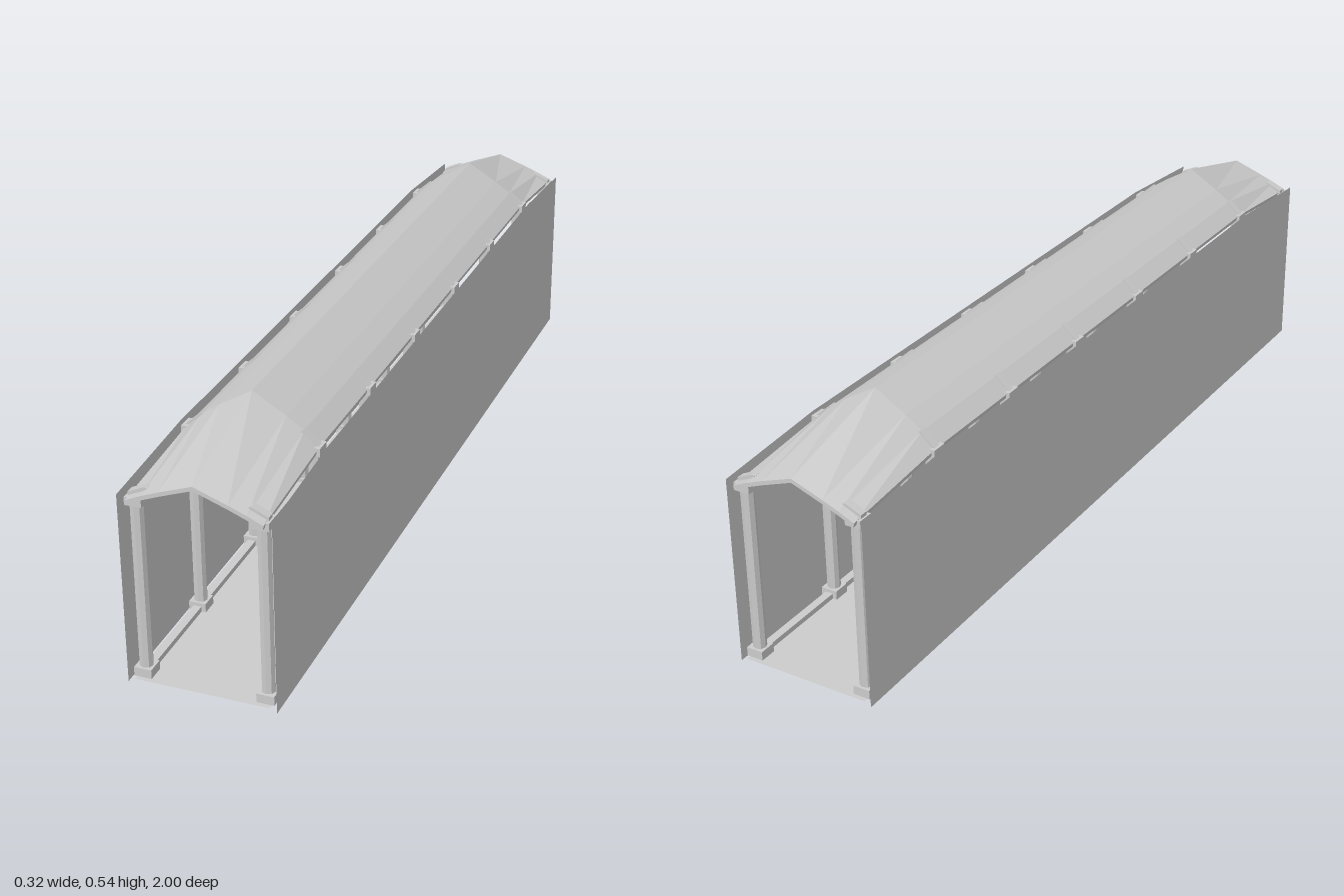
import * as THREE from 'three';

export function createModel() {
  const group = new THREE.Group();
  const stone = new THREE.MeshStandardMaterial({ color: 0xcccccc, flatShading: true, side: THREE.DoubleSide });
  stone.name = 'pale grey';

  const add = (name, geometry, x = 0, y = 0, z = 0, parent = group) => {
    const mesh = new THREE.Mesh(geometry, stone);
    mesh.name = name;
    mesh.position.set(x, y, z);
    parent.add(mesh);
    return mesh;
  };

  // Roof shell: closed cross-sections lofted along z, lowered at both ends
  const xs = [-0.143, -0.11, -0.072, 0, 0.072, 0.11, 0.143];
  const midY = [0.441, 0.471, 0.497, 0.54];
  const endY = [0.416, 0.431, 0.446, 0.472];
  const section = (heights, z) => {
    const top = xs.map((x, i) => [x, heights[3 - Math.abs(i - 3)], z]);
    const under = top.map(([x, y]) => [x * 0.99, y - 0.009, z]).reverse();
    return [...top, ...under];
  };
  const rings = [section(endY, -1), section(midY, -0.715), section(midY, 0.715), section(endY, 1)];
  const n = rings[0].length;
  const positions = [];
  const quad = (a, b, c, d) => positions.push(...a, ...b, ...c, ...a, ...c, ...d);
  for (let r = 0; r < rings.length - 1; r++) {
    for (let i = 0; i < n; i++) {
      const j = (i + 1) % n;
      quad(rings[r][i], rings[r + 1][i], rings[r + 1][j], rings[r][j]);
    }
  }
  for (let i = 0; i < xs.length - 1; i++) {
    const f = rings[3], b = rings[0], k = n - 1 - i;
    quad(f[i], f[k], f[k - 1], f[i + 1]);
    quad(b[i], b[i + 1], b[k - 1], b[k]);
  }
  const roofGeometry = new THREE.BufferGeometry();
  roofGeometry.setAttribute('position', new THREE.Float32BufferAttribute(positions, 3));
  roofGeometry.computeVertexNormals();
  add('roof', roofGeometry);

  // Floor sheet
  add('floor', new THREE.PlaneGeometry(0.29, 2).rotateX(-Math.PI / 2), 0, 0.009, 0);

  // Side wall outline in the z-y plane
  const wallShape = new THREE.Shape();
  [[-1, 0], [1, 0], [1, 0.425], [0.715, 0.445], [-0.715, 0.445], [-1, 0.425]]
    .forEach(([z, y], i) => (i ? wallShape.lineTo(z, y) : wallShape.moveTo(z, y)));
  const wallGeometry = new THREE.ShapeGeometry(wallShape).rotateY(Math.PI / 2);

  // Roof bracket lying along the eave slope
  const bracketShape = new THREE.Shape();
  [[0.146, 0.425], [0.146, 0.443], [0.11, 0.4745], [0.104, 0.47], [0.115, 0.445]]
    .forEach(([x, y], i) => (i ? bracketShape.lineTo(x, y) : bracketShape.moveTo(x, y)));
  const bracketGeometry = new THREE.ExtrudeGeometry(bracketShape, { depth: 0.018, bevelEnabled: false });
  bracketGeometry.translate(0, 0, -0.009);

  const baseGeometry = new THREE.BoxGeometry(0.038, 0.02, 0.038);
  const capitalGeometry = new THREE.BoxGeometry(0.036, 0.018, 0.036);
  const columnZ = [-0.972, -0.715, -0.429, -0.143, 0.143, 0.429, 0.715, 0.972];

  for (const side of [-1, 1]) {
    const name = side > 0 ? 'left' : 'right';
    const x = side * 0.132;
    add(name + 'Wall', wallGeometry, side * 0.16);
    add(name + 'Sill', new THREE.BoxGeometry(0.018, 0.012, 1.95), x, 0.016, 0);

    // Octagonal columns, shorter at the ends
    for (const z of columnZ) {
      const isEnd = Math.abs(z) > 0.9;
      const top = isEnd ? 0.417 : 0.445;
      const column = new THREE.Group();
      column.name = name + 'Column';
      column.position.set(x, 0, z);
      group.add(column);
      add('base', baseGeometry, 0, 0.02, 0, column);
      const height = top - 0.018 - 0.03;
      add('shaft', new THREE.CylinderGeometry(0.0145, 0.0145, height, 8), 0, 0.03 + height / 2, 0, column);
      add('capital', capitalGeometry, 0, top - 0.009, 0, column);
      const bracket = add('roofBracket', bracketGeometry, -x, isEnd ? -0.022 : 0, 0, column);
      if (side < 0) bracket.rotation.y = Math.PI;
      if (isEnd) {
        // Flatter slope under the lowered roof ends
        bracket.scale.y = 0.5;
        bracket.position.y = 0.203;
      }
    }
  }
  return group;
}
